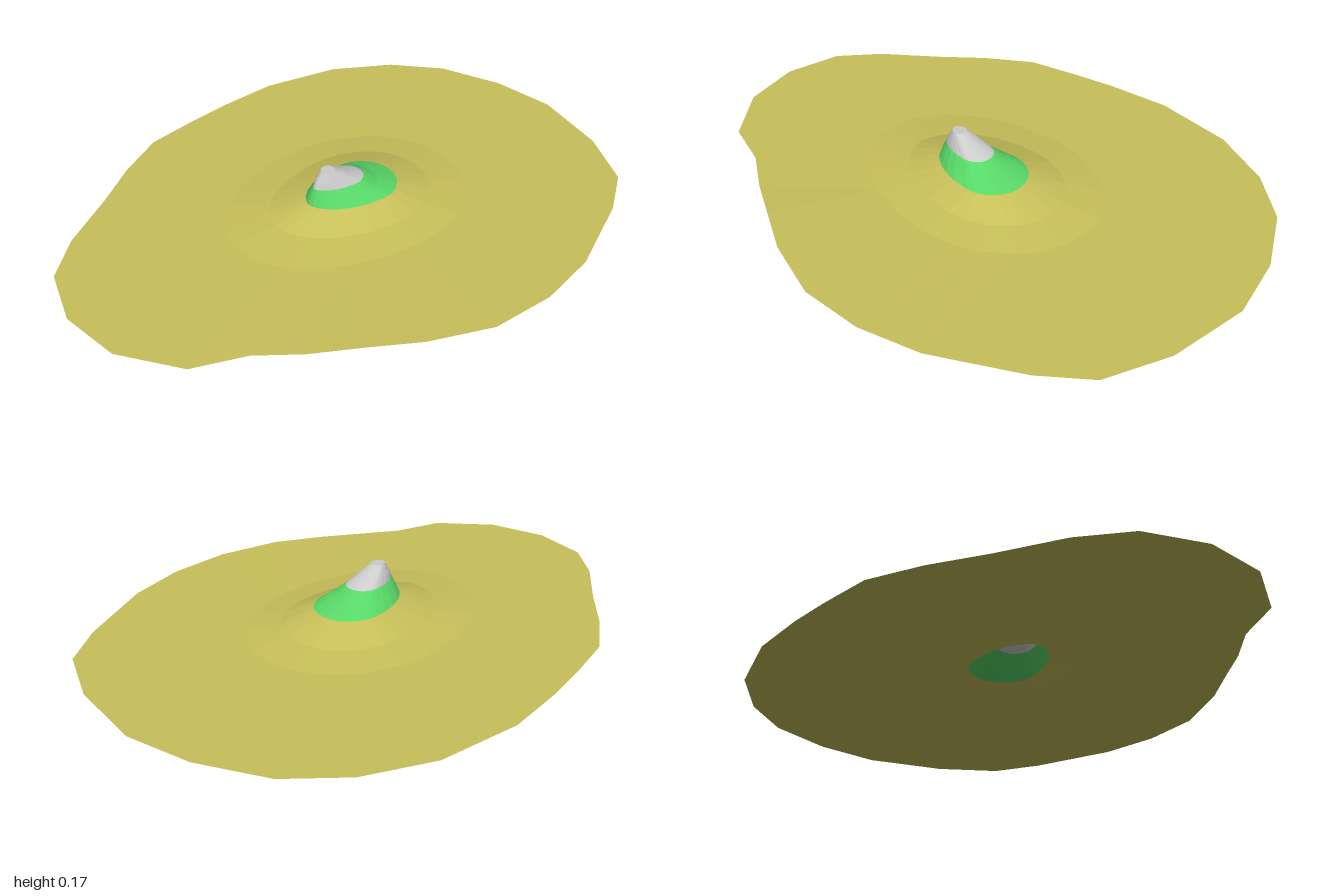
import * as THREE from 'three';

// Shoreline as [x, z, y], starting at the back and running round by +x
const shore = [
  [-0.02, -1], [0.26, -0.95], [0.47, -0.85], [0.58, -0.7], [0.72, -0.42], [0.77, -0.21], [0.77, 0.01],
  [0.7, 0.22, 0.007], [0.61, 0.38, 0.006], [0.53, 0.52], [0.44, 0.65], [0.38, 0.82], [0.2, 0.96],
  [-0.01, 1], [-0.21, 0.95], [-0.34, 0.83], [-0.47, 0.65], [-0.59, 0.5], [-0.69, 0.34], [-0.73, 0.15],
  [-0.755, 0], [-0.775, -0.22], [-0.73, -0.5], [-0.62, -0.71], [-0.47, -0.86], [-0.25, -0.96],
];
const shoreRing = shore.map(([x, z, y = 0]) => new THREE.Vector3(x, y, z));

// Egg-shaped contour line, with its widest point at zMid and one corner per shore point
function contour(y, xMin, xMax, zBack, zFront, zMid, taper = 1) {
  const cx = (xMin + xMax) / 2, w = (xMax - xMin) / 2;
  return shore.map(([sx, sz]) => {
    const a = Math.atan2(sx - 0.01, sz);
    const s = Math.sin(a), c = Math.cos(a);
    const pinch = c > 0 ? Math.pow(Math.abs(s), taper) * Math.sign(s) : s;
    return new THREE.Vector3(cx + w * pinch, y, zMid + c * (c > 0 ? zFront - zMid : zMid - zBack));
  });
}

// Facetted skin through a list of rings, lowest first; optionally closed on top
function band(name, color, rings, capped = false) {
  const pos = [];
  const tri = (...pts) => pts.forEach((p) => pos.push(p.x, p.y, p.z));
  const n = shore.length;
  for (let r = 0; r < rings.length - 1; r++) {
    for (let i = 0; i < n; i++) {
      const j = (i + 1) % n;
      const lo = rings[r], hi = rings[r + 1];
      tri(lo[i], hi[i], lo[j]);
      tri(lo[j], hi[i], hi[j]);
    }
  }
  if (capped) {
    const top = rings[rings.length - 1];
    const mid = top.reduce((m, p) => m.addScaledVector(p, 1 / n), new THREE.Vector3());
    for (let i = 0; i < n; i++) tri(top[i], mid, top[(i + 1) % n]);
  }
  const geo = new THREE.BufferGeometry();
  geo.setAttribute('position', new THREE.Float32BufferAttribute(pos, 3));
  geo.computeVertexNormals();
  const mesh = new THREE.Mesh(geo, new THREE.MeshStandardMaterial({
    color, flatShading: true, side: THREE.DoubleSide,
  }));
  mesh.name = name;
  return mesh;
}

export function createModel() {
  const island = new THREE.Group();
  island.name = 'island';

  const foot = contour(0.002, -0.33, 0.34, -0.45, 0.43, -0.06);
  const lowSlope = contour(0.018, -0.21, 0.23, -0.32, 0.275, -0.07, 1.1);
  const treeLine = contour(0.058, -0.1, 0.14, -0.19, 0.15, -0.07, 1.15);
  const midSlope = contour(0.085, -0.066, 0.108, -0.11, 0.14, -0.03, 1.15);
  const rockLine = contour(0.113, -0.036, 0.08, -0.06, 0.128, 0.0, 1.2);
  const shoulder = contour(0.135, -0.022, 0.066, -0.01, 0.118, 0.03, 1.1);
  const summit = contour(0.167, 0, 0.046, 0.05, 0.098, 0.07);

  island.add(
    band('sandyGround', 0xc8c05a, [shoreRing, foot, lowSlope, treeLine]),
    band('greenSlope', 0x58d868, [treeLine, midSlope, rockLine]),
    band('rockyPeak', 0xcccccc, [rockLine, shoulder, summit], true),
  );
  return island;
}
